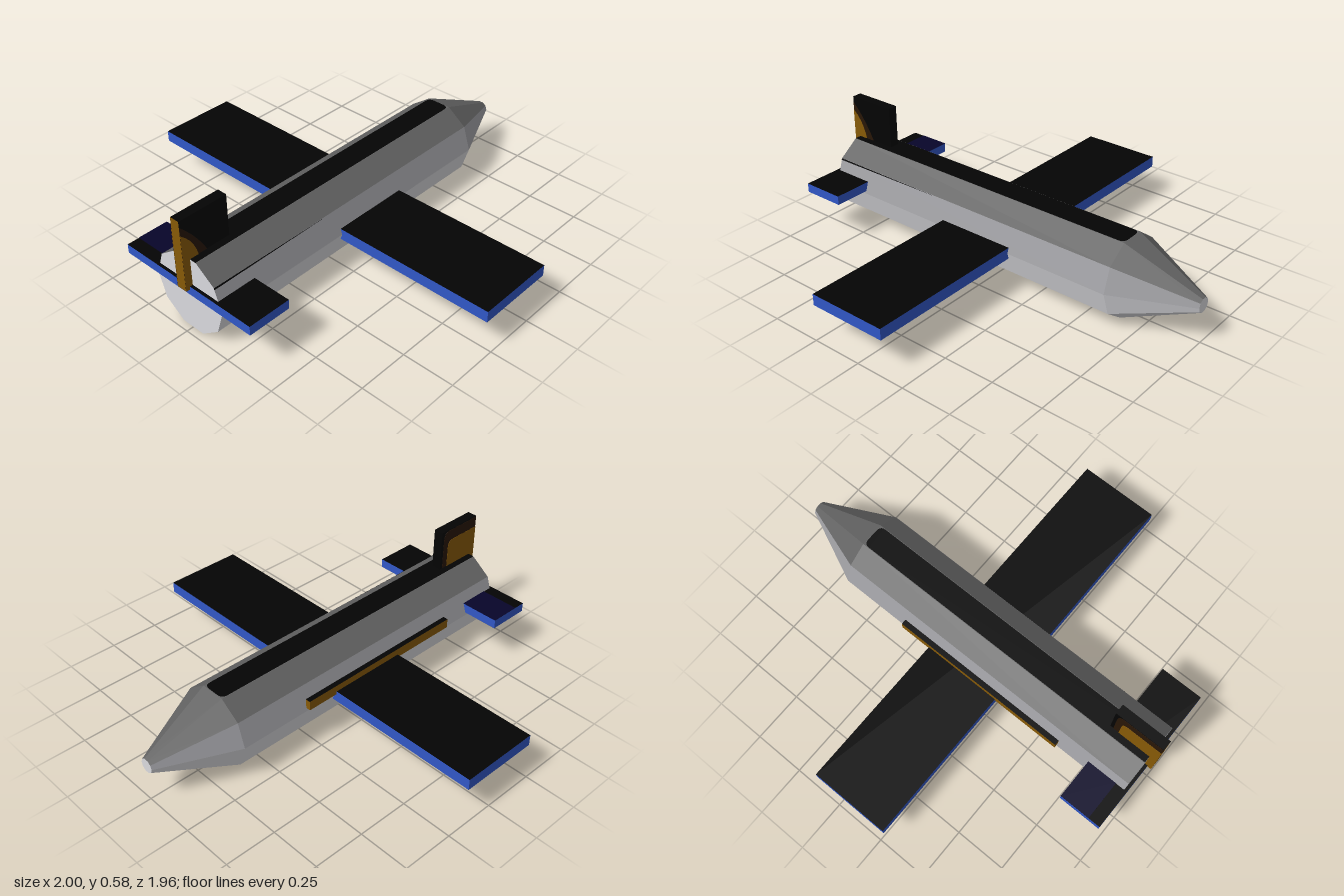
import * as THREE from 'three';

const mat = (name, color) => {
  const m = new THREE.MeshStandardMaterial({ color, flatShading: true });
  m.name = name;
  return m;
};

export function createModel() {
  const light = mat('lightGrey', 0xdadade);
  const mid = mat('midGrey', 0x9e9ea2);
  const dark = mat('darkGrey', 0x626262);
  const black = mat('black', 0x040404);
  const blue = mat('blue', 0x3157c6);
  const navy = mat('navy', 0x07052a);
  const brown = mat('brown', 0x875a07);
  const darkBrown = mat('darkBrown', 0x281607);

  const model = new THREE.Group();
  model.name = 'aeroplane';
  const add = (name, geometry, material, parent = model) => {
    const mesh = new THREE.Mesh(geometry, material);
    mesh.name = name;
    parent.add(mesh);
    return mesh;
  };
  // Box given by its limits on each axis
  const box = (name, [x0, x1], [y0, y1], [z0, z1], material) => {
    const mesh = add(name, new THREE.BoxGeometry(x1 - x0, y1 - y0, z1 - z0), material);
    mesh.position.set((x0 + x1) / 2, (y0 + y1) / 2, (z0 + z1) / 2);
  };
  const plate = (shape, depth) =>
    new THREE.ExtrudeGeometry(shape, { depth, bevelEnabled: false, curveSegments: 5 });

  // Ten-sided fuselage and tapered nose, darker towards the top
  const R = 0.197, TIP = 0.035, CY = 0.188, REAR = -0.965, SHOULDER = 0.64, END = 1;
  const step = Math.PI / 5;
  const fuselage = new THREE.Group();
  fuselage.name = 'fuselage';
  fuselage.position.y = CY;
  model.add(fuselage);
  const shades = [mid, dark, dark, dark, mid, light, light, light, light, light];
  shades.forEach((material, i) => {
    const panel = (name, front, back, x0, x1) => {
      const g = new THREE.CylinderGeometry(front, back, x1 - x0, 1, 1, true, -step * (i + 1), step);
      g.rotateZ(-Math.PI / 2).translate((x0 + x1) / 2, 0, 0);
      add(name, g, material, fuselage);
    };
    panel('bodyPanel', R, R, REAR, SHOULDER);
    panel('nosePanel', TIP, R, SHOULDER, END);
  });
  add('noseTip', new THREE.CircleGeometry(TIP, 10).rotateY(Math.PI / 2).translate(END, 0, 0), light, fuselage);
  add('rearCap', new THREE.CircleGeometry(R, 10).rotateY(-Math.PI / 2).translate(REAR, 0, 0), light, fuselage);

  // Black stripe along the spine with a rounded front end
  const w = 0.058, r = 0.03, front = 0.637;
  const spine = new THREE.Shape();
  spine.moveTo(REAR, -w);
  spine.lineTo(front - r, -w);
  spine.quadraticCurveTo(front, -w, front, -w + r);
  spine.lineTo(front, w - r);
  spine.quadraticCurveTo(front, w, front - r, w);
  spine.lineTo(REAR, w);
  add('spineStripe', plate(spine, 0.0015).rotateX(-Math.PI / 2).translate(0, R * Math.sin(2 * step), 0), black, fuselage);

  // Thin tapering black seam under the upper edge of the front side
  const seam = new THREE.Shape([[REAR, 0.053], [-0.35, 0.059], [REAR, 0.0605]].map(([x, y]) => new THREE.Vector2(x, y)));
  add('sideSeam', plate(seam, 0.0015).translate(0, 0, R * Math.cos(step / 2)).rotateX(-step / 2), black, fuselage);

  // Main wing and tailplane: blue slabs with black tops
  const slab = [blue, blue, black, blue, blue, blue];
  box('wing', [-0.267, 0.124], [0.16, 0.215], [-0.98, 0.98], slab);
  box('tailplane', [-0.98, -0.768], [0.2, 0.245], [-0.375, 0.375], slab);
  box('tailplanePatch', [-0.92, -0.768], [0.245, 0.247], [-0.375, -0.17], navy);

  // Rail along the back side of the fuselage
  box('sideRail', [-0.61, 0.285], [0.2, 0.247], [-0.213, -0.187], [brown, brown, black, brown, brown, brown]);

  // Upright fin with a brown rear edge
  box('fin', [-1, -0.754], [0.23, 0.58], [-0.024, 0.024], [black, brown, black, brown, black, black]);

  // Painted fin patch: from the rear edge at height top, curving down to the given side
  const patch = (name, top, side, curveStart, control, curveEnd, z, material) => {
    const s = new THREE.Shape();
    s.moveTo(-1, 0.23);
    s.lineTo(side, 0.23);
    s.lineTo(side, curveStart);
    s.quadraticCurveTo(...control, curveEnd, top);
    s.lineTo(-1, top);
    add(name, plate(s, 0.001).translate(0, 0, z), material);
  };
  patch('finFrontBorder', 0.55, -0.87, 0.37, [-0.925, 0.48], -0.999, 0.024, darkBrown);
  patch('finFrontPatch', 0.51, -0.918, 0.37, [-0.935, 0.46], -0.999, 0.0255, brown);
  patch('finBackBorder', 0.575, -0.77, 0.52, [-0.77, 0.575], -0.8, -0.025, darkBrown);
  patch('finBackPatch', 0.52, -0.8, 0.48, [-0.8, 0.52], -0.83, -0.0265, brown);

  return model;
}
